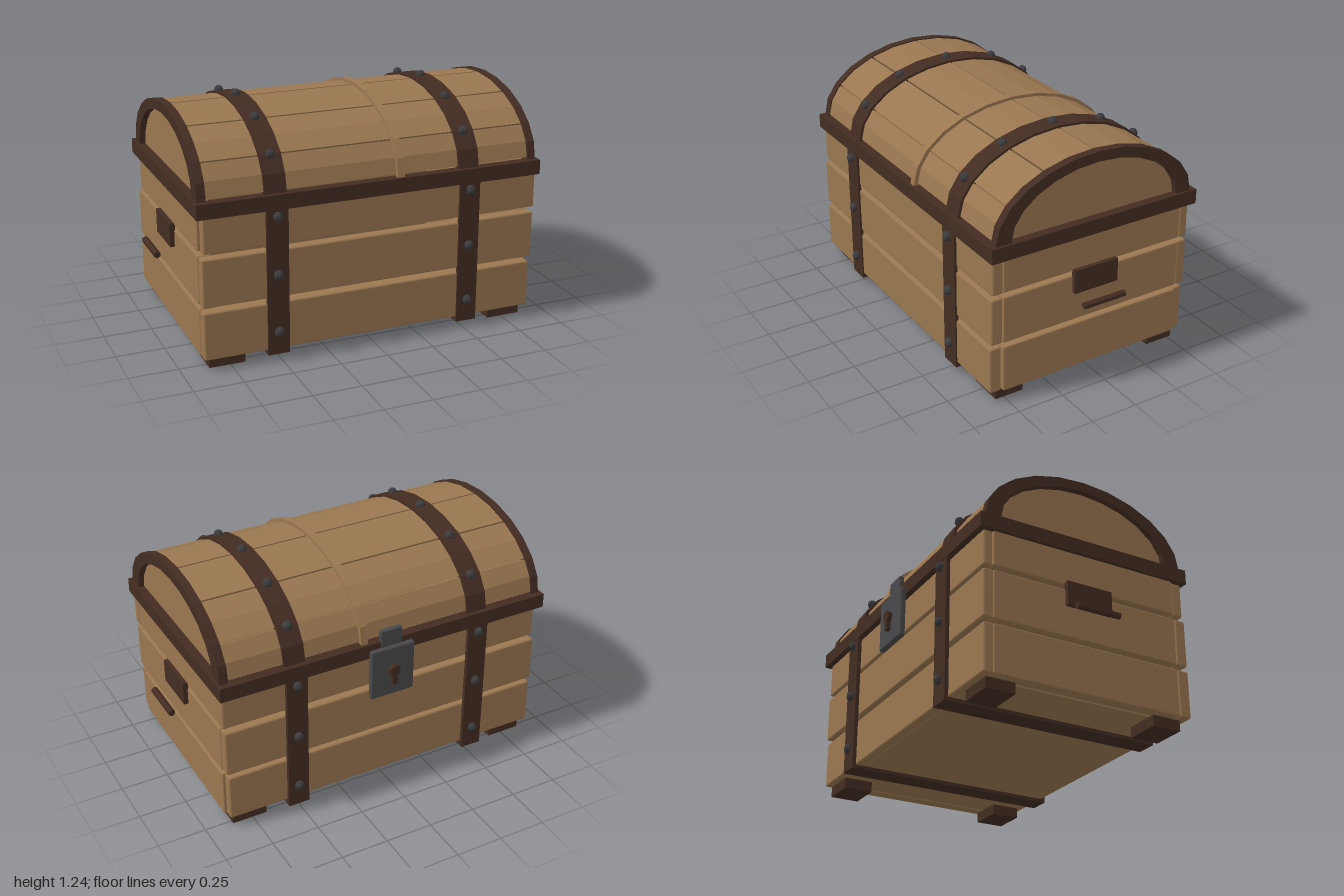
import * as THREE from 'three';
import { RoundedBoxGeometry } from 'three/addons/geometries/RoundedBoxGeometry.js';

const CZ = 0.011;      // middle of the chest in z
const LID_Y = 0.86;    // spring line of the lid arch

export function createModel() {
  const root = new THREE.Group();
  root.name = 'treasureChest';

  const material = (name, color) => {
    const m = new THREE.MeshStandardMaterial({ color });
    m.name = name;
    return m;
  };
  const wood = material('wood', 0x9a7750);
  const darkWood = material('darkWood', 0x432c22);
  const iron = material('iron', 0x4a4a4c);
  const rivetIron = material('rivetIron', 0x3c3c3e);
  rivetIron.flatShading = true;

  const add = (name, geometry, mat) => {
    const mesh = new THREE.Mesh(geometry, mat);
    mesh.name = name;
    root.add(mesh);
    return mesh;
  };
  // Box given by its extents; a bevel makes chamfered edges
  const box = (name, mat, [x0, x1], [y0, y1], [z0, z1], bevel = 0) => {
    const s = [x1 - x0, y1 - y0, z1 - z0];
    const g = bevel ? new RoundedBoxGeometry(...s, 1, bevel) : new THREE.BoxGeometry(...s);
    return add(name, g.translate((x0 + x1) / 2, (y0 + y1) / 2, (z0 + z1) / 2), mat);
  };
  // Elliptical arch segment between two angles (degrees), running from x0 to x1
  const arch = (name, mat, [a, b], [ia, ib], [x0, x1], from = 0, to = 180) => {
    const n = Math.round((to - from) / 15);
    const pts = [];
    const point = (rx, ry, i) => {
      const t = THREE.MathUtils.degToRad(from + ((to - from) * i) / n);
      pts.push(new THREE.Vector2(rx * Math.cos(t), ry * Math.sin(t)));
    };
    for (let i = 0; i <= n; i++) point(a, b, i);
    if (ia > 0) for (let i = n; i >= 0; i--) point(ia, ib, i);
    const g = new THREE.ExtrudeGeometry(new THREE.Shape(pts), { depth: x1 - x0, bevelEnabled: false });
    return add(name, g.rotateY(Math.PI / 2).translate(x0, LID_Y, CZ), mat);
  };
  const rivet = (x, y, z) => {
    add('rivet', new THREE.SphereGeometry(0.025, 8, 6), rivetIron).position.set(x, y, z);
  };

  // Body: three rows of separate planks, with open gaps between the rows
  const rows = [
    { y: [0.06, 0.308], x: [-0.893, 0.882], z: [-0.55, 0.59] },
    { y: [0.332, 0.58], x: [-0.893, 0.892], z: [-0.553, 0.588] },
    { y: [0.604, 0.85], x: [-0.883, 0.897], z: [-0.546, 0.585] },
  ];
  for (const { y, x, z } of rows) {
    box('frontPlank', wood, x, y, [0.526, z[1]], 0.01);
    box('backPlank', wood, x, y, [z[0], -0.497], 0.01);
    box('leftPlank', wood, [0.825, 0.895], y, [-0.5, 0.524], 0.008);
    box('rightPlank', wood, [-0.895, -0.825], y, [-0.5, 0.524], 0.008);
  }
  box('floor', wood, [-0.81, 0.81], [0.062, 0.1], [-0.5, 0.53]);

  // Rim frame between body and lid
  const rimY = [0.784, 0.86];
  box('frontRim', darkWood, [-0.914, 0.914], rimY, [0.545, 0.598]);
  box('backRim', darkWood, [-0.914, 0.914], rimY, [-0.578, -0.525]);
  for (const s of [-1, 1]) {
    box('sideRim', darkWood, s < 0 ? [-0.914, -0.855] : [0.855, 0.914], rimY, [-0.525, 0.545]);
  }

  // Lid: six curved planks with narrow gaps
  for (let k = 0; k < 6; k++) {
    const from = k * 30 + (k === 0 ? 1.8 : 0.5);
    const to = k * 30 + 30 - (k === 5 ? 1.8 : 0.5);
    arch('lidPlank', wood, [0.55, 0.336], [0.51, 0.3], [-0.88, 0.88], from, to);
  }
  for (const s of [-1, 1]) {
    const span = (lo, hi) => (s < 0 ? [-hi, -lo] : [lo, hi]);
    arch('lidEndPanel', wood, [0.505, 0.308], [0, 0], span(0.83, 0.868));
    arch('lidEndTrim', darkWood, [0.557, 0.342], [0.474, 0.29], span(0.856, 0.9));
  }
  arch('lidBatten', wood, [0.572, 0.352], [0.54, 0.33], [0.12, 0.157]);

  // Straps wrapping the body and the lid, with rivets
  for (const x of [-0.515, 0.515]) {
    const w = [x - 0.056, x + 0.056];
    box('frontStrap', darkWood, w, [0.036, 0.79], [0.58, 0.597]);
    box('backStrap', darkWood, w, [0.036, 0.79], [-0.576, -0.556]);
    box('bottomStrap', darkWood, w, [0.036, 0.054], [-0.57, 0.59]);
    arch('lidStrap', darkWood, [0.564, 0.348], [0.53, 0.325], w);
    for (const y of [0.155, 0.455, 0.752]) {
      rivet(x, y, 0.602);
      rivet(x, y, -0.58);
    }
    for (const deg of [30, 60, 90, 120, 150]) {
      const t = THREE.MathUtils.degToRad(deg);
      rivet(x, LID_Y + 0.35 * Math.sin(t), CZ + 0.566 * Math.cos(t));
    }
  }

  // Feet, handle plates and hexagonal handle bars
  for (const s of [-1, 1]) {
    const span = (lo, hi) => (s < 0 ? [-hi, -lo] : [lo, hi]);
    box('frontFoot', darkWood, span(0.673, 0.858), [0, 0.055], [0.39, 0.545]);
    box('backFoot', darkWood, span(0.673, 0.858), [0, 0.055], [-0.52, -0.366]);
    box('handlePlate', darkWood, span(0.89, 0.918), [0.49, 0.615], [-0.112, 0.137]);
    const bar = new THREE.CylinderGeometry(0.018, 0.018, 0.236, 6).toNonIndexed();
    bar.computeVertexNormals();
    add('handleBar', bar.rotateX(Math.PI / 2), darkWood).position.set(s * 0.984, 0.456, 0.012);
  }

  // Lock on the back: plate, hasp and raised keyhole
  box('lockPlate', iron, [-0.122, 0.122], [0.552, 0.828], [-0.603, -0.57], 0.01);
  box('hasp', iron, [-0.06, 0.06], [0.8, 0.922], [-0.583, -0.555], 0.008);
  const disc = new THREE.CylinderGeometry(0.03, 0.03, 0.027, 12).rotateX(Math.PI / 2);
  add('keyholeDisc', disc, darkWood).position.set(0, 0.7, -0.613);
  box('keyholeSlot', darkWood, [-0.013, 0.013], [0.622, 0.69], [-0.625, -0.6]);

  return root;
}
